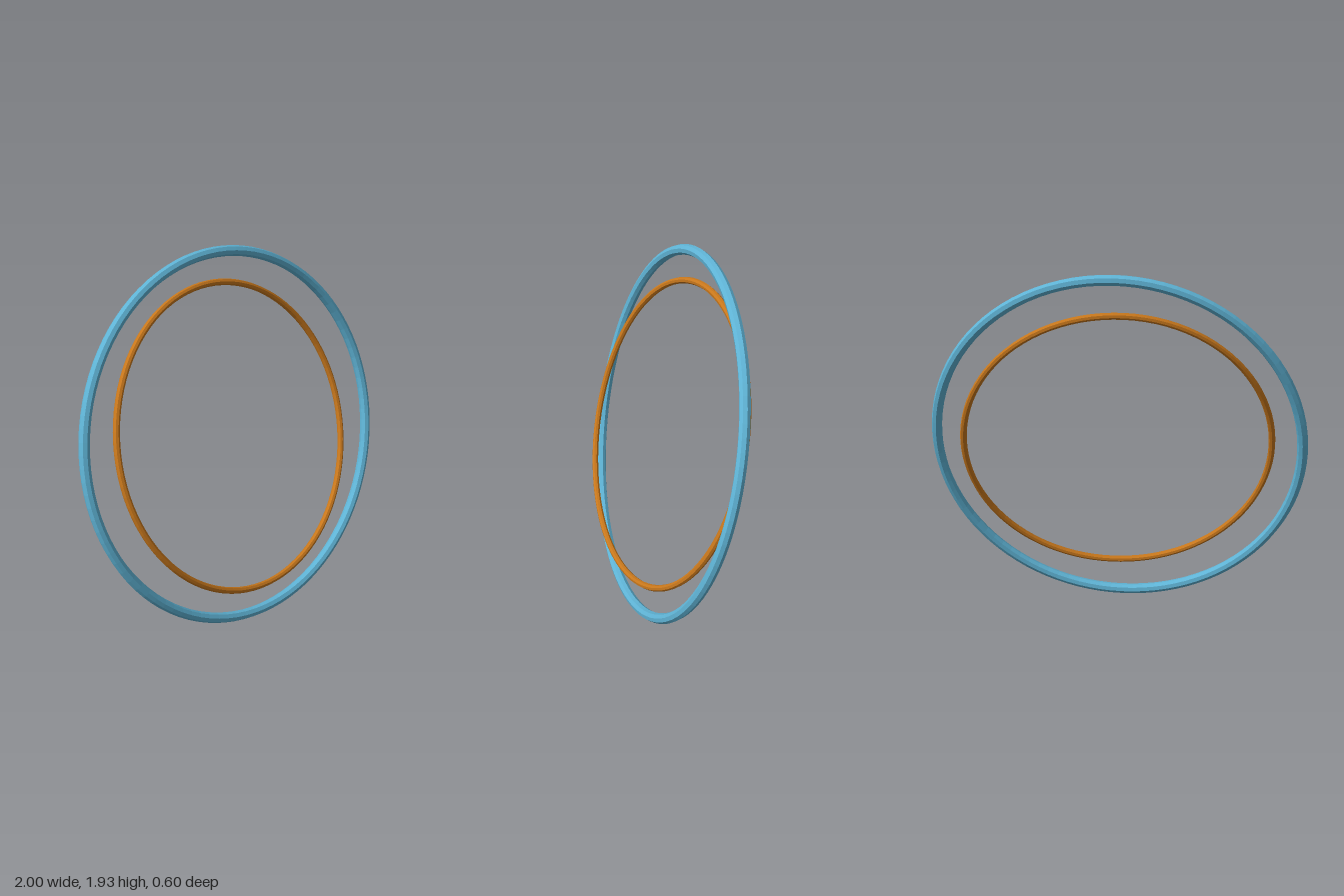
import * as THREE from 'three';

const mat = (name, color) => {
  const m = new THREE.MeshStandardMaterial({ color });
  m.name = name;
  m.flatShading = true;
  return m;
};

// Slim eight-sided ring whose axis points along the given normal
function ring(name, radius, tube, normal, material) {
  const mesh = new THREE.Mesh(new THREE.TorusGeometry(radius, tube, 8, 96), material);
  mesh.name = name;
  mesh.quaternion.setFromUnitVectors(new THREE.Vector3(0, 0, 1), normal.normalize());
  return mesh;
}

export function createModel() {
  const group = new THREE.Group();
  group.name = 'tiltedRings';
  const tilt = THREE.MathUtils.degToRad(15);

  // Both rings share one centre; the inner one is tipped slightly further
  const outer = ring('outerRing', 0.972, 0.028,
    new THREE.Vector3(0, Math.sin(tilt), Math.cos(tilt)), mat('sky blue', 0x5fb4d6));
  const inner = ring('innerRing', 0.816, 0.0175,
    new THREE.Vector3(0.08, 0.34, 0.937), mat('burnt orange', 0xc9781c));
  group.add(outer, inner);

  // Stand the outer ring on the ground
  for (const r of [outer, inner]) r.position.y = 0.967;
  return group;
}
